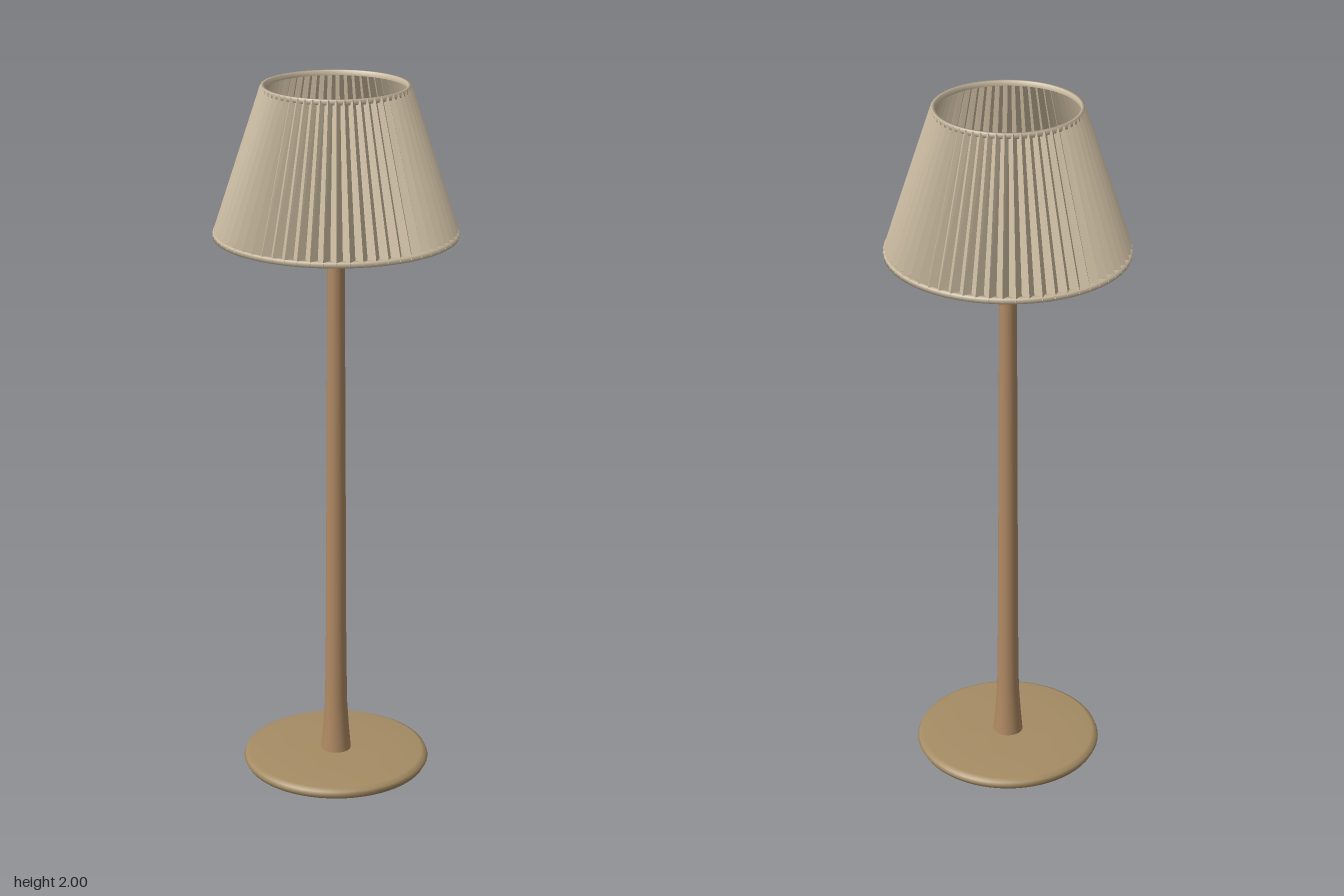
import * as THREE from 'three';

const material = (color, extra = {}) => new THREE.MeshStandardMaterial({ color, ...extra });

function add(group, name, geometry, mat) {
  const mesh = new THREE.Mesh(geometry, mat);
  mesh.name = name;
  group.add(mesh);
  return mesh;
}

const lathe = (points, segments) =>
  new THREE.LatheGeometry(points.map(([r, y]) => new THREE.Vector2(r, y)), segments);

// Zigzag cone: ridges and valleys alternate around the ring
function pleatedCone(pleats, bottom, top) {
  const steps = pleats * 2;
  const geometry = new THREE.CylinderGeometry(1, 1, 1, steps, 1, true);
  const pos = geometry.attributes.position;
  for (let i = 0; i < pos.count; i++) {
    const ring = pos.getY(i) > 0 ? top : bottom;
    const k = i % (steps + 1);
    const r = k % 2 ? ring.ridge : ring.valley;
    const a = (k / steps) * Math.PI * 2;
    pos.setXYZ(i, Math.sin(a) * r, ring.y, Math.cos(a) * r);
  }
  const flat = geometry.toNonIndexed();
  flat.computeVertexNormals();
  return flat;
}

export function createModel() {
  const lamp = new THREE.Group();
  lamp.name = 'floorLamp';
  const wood = material(0xb08a64);
  const baseMat = material(0xa58c64);
  const fabric = material(0xcdbda2, { side: THREE.DoubleSide, flatShading: true });
  const trim = material(0xcdbda2);
  const glass = material(0xe8dabd);

  // Round foot with a soft edge
  add(lamp, 'base', lathe([
    [0, 0], [0.25, 0], [0.262, 0.006], [0.268, 0.017],
    [0.264, 0.027], [0.25, 0.034], [0.14, 0.038], [0, 0.04],
  ], 64), baseMat);

  // Stem, flared at the foot and rounded at the tip
  add(lamp, 'stem', lathe([
    [0.044, 0.03], [0.038, 0.1], [0.032, 0.19], [0.029, 0.44], [0.027, 0.94],
    [0.024, 1.5], [0.024, 1.625], [0.021, 1.637], [0.012, 1.646], [0, 1.649],
  ], 32), wood);

  // Pleated shade
  const shade = new THREE.Group();
  shade.name = 'shade';
  lamp.add(shade);
  add(shade, 'pleats', pleatedCone(60,
    { y: 1.59, ridge: 0.337, valley: 0.316 },
    { y: 1.998, ridge: 0.203, valley: 0.192 }), fabric);

  // Hoops holding the top and bottom of the pleats
  for (const [name, inner, outer, y] of [
    ['topHoop', 0.192, 0.201, 1.992],
    ['bottomHoop', 0.318, 0.335, 1.592],
  ]) {
    const h = 0.007;
    add(shade, name, lathe([
      [inner, y - h], [outer, y - h], [outer, y + h], [inner, y + h], [inner, y - h],
    ], 60), trim);
  }

  // Diffuser disc closing the underside of the shade
  add(shade, 'diffuser', lathe([[0, 1.603], [0.305, 1.603], [0.305, 1.617], [0, 1.617]], 64), glass);

  return lamp;
}
